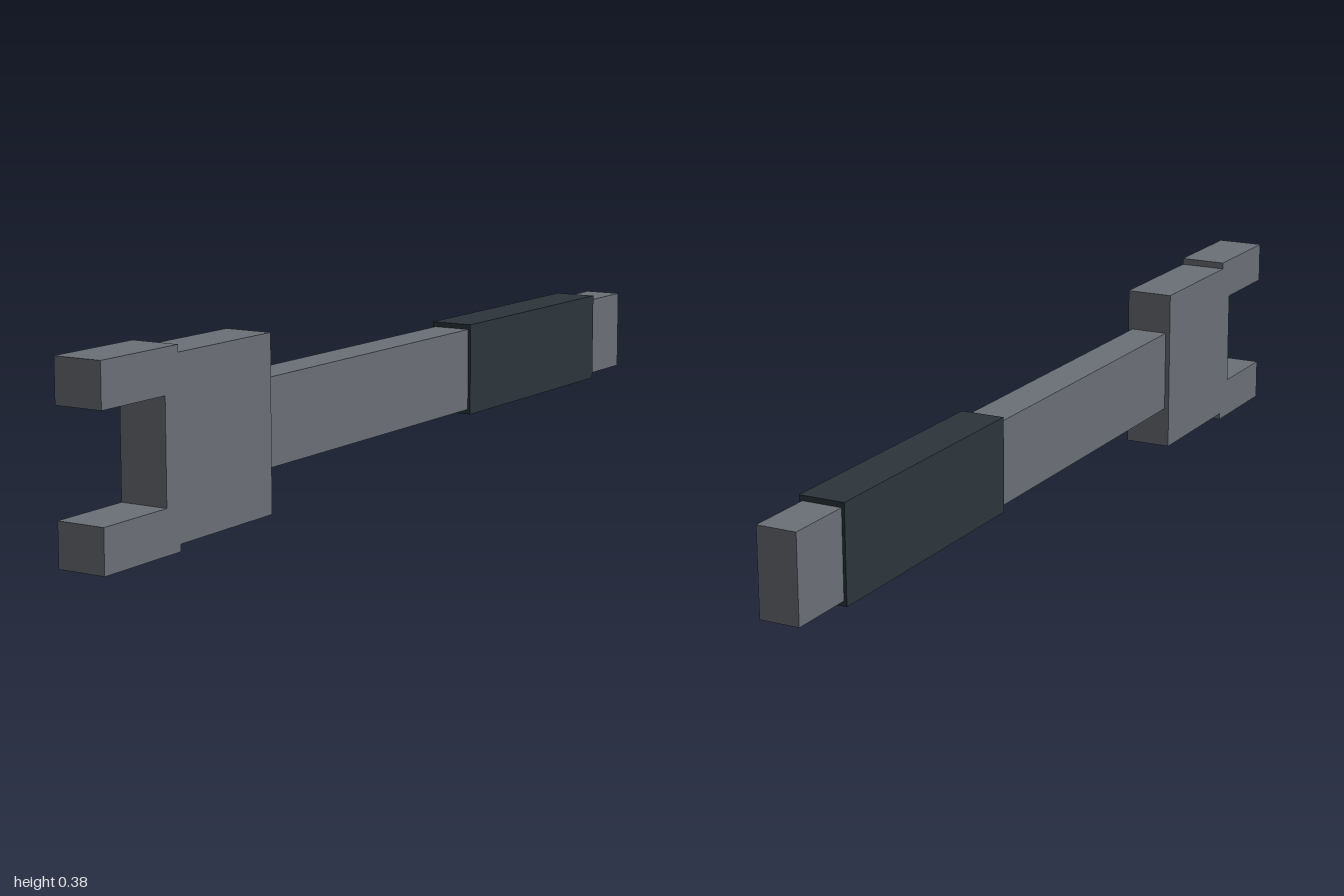
import * as THREE from 'three';

export function createModel() {
  const group = new THREE.Group();
  const steel = new THREE.MeshStandardMaterial({ color: 0x6b7077 });
  steel.name = 'steel grey';
  const rubber = new THREE.MeshStandardMaterial({ color: 0x2c353b });
  rubber.name = 'dark grip';

  const midY = 0.189; // height of the tool's long axis

  // Box centred on x = 0, spanning z0..z1
  function bar(name, material, width, height, y, z0, z1) {
    const mesh = new THREE.Mesh(new THREE.BoxGeometry(width, height, z1 - z0), material);
    mesh.name = name;
    mesh.position.set(0, y, (z0 + z1) / 2);
    group.add(mesh);
  }

  // Long shaft with a slightly thicker grip sleeve
  bar('handle', steel, 0.082, 0.175, midY, -1, 0.52);
  bar('grip', rubber, 0.094, 0.196, midY, -0.856, -0.274);

  // Wrench head and its two open jaws
  bar('head', steel, 0.102, 0.35, midY, 0.49, 0.82);
  for (const [name, side] of [['upperJaw', 1], ['lowerJaw', -1]]) {
    bar(name, steel, 0.102, 0.087, midY + side * 0.1455, 0.78, 1);
  }

  return group;
}
